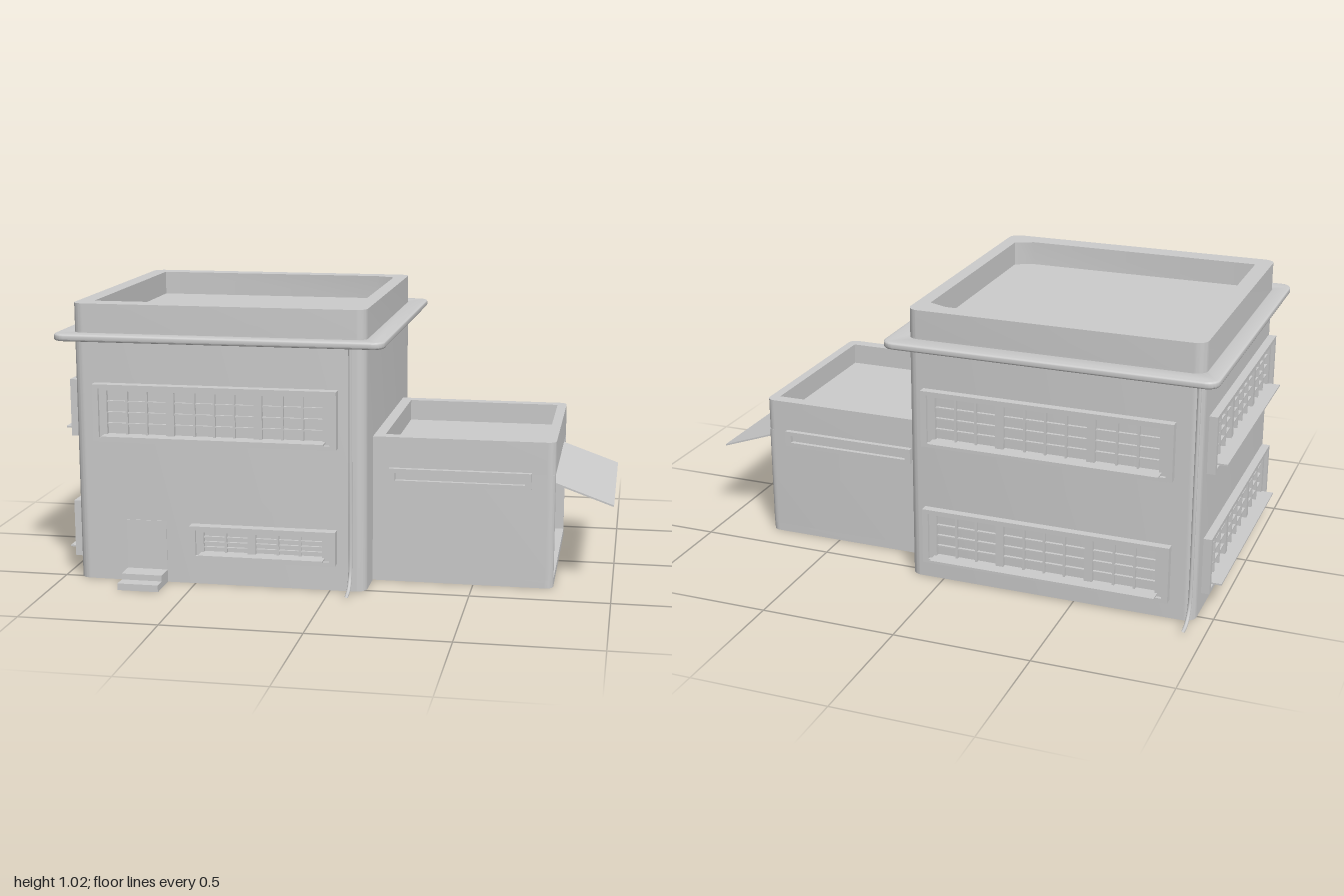
import * as THREE from 'three';
import { toCreasedNormals } from 'three/addons/utils/BufferGeometryUtils.js';

const grey = new THREE.MeshStandardMaterial({ color: 0xcccccc, side: THREE.DoubleSide });

function add(parent, name, geometry) {
  const mesh = new THREE.Mesh(geometry, grey);
  mesh.name = name;
  parent.add(mesh);
  return mesh;
}

// Box given by its limits
function box(parent, name, x0, x1, y0, y1, z0, z1) {
  const g = new THREE.BoxGeometry(x1 - x0, y1 - y0, z1 - z0);
  g.translate((x0 + x1) / 2, (y0 + y1) / 2, (z0 + z1) / 2);
  return add(parent, name, g);
}

// Rectangle outline in plan; rL and rR round the corners at low x and high x
function plan(x0, x1, z0, z1, rL = 0, rR = rL, Type = THREE.Shape) {
  const p = new Type(), a = -z1, b = -z0;
  p.moveTo(x0 + rL, a);
  p.lineTo(x1 - rR, a);
  if (rR) p.absarc(x1 - rR, a + rR, rR, -Math.PI / 2, 0);
  p.lineTo(x1, b - rR);
  if (rR) p.absarc(x1 - rR, b - rR, rR, 0, Math.PI / 2);
  p.lineTo(x0 + rL, b);
  if (rL) p.absarc(x0 + rL, b - rL, rL, Math.PI / 2, Math.PI);
  p.lineTo(x0, a + rL);
  if (rL) p.absarc(x0 + rL, a + rL, rL, Math.PI, Math.PI * 1.5);
  p.closePath();
  return p;
}

// Plan outline raised from y0 to y1
function raise(parent, name, shape, y0, y1, bevel = 0) {
  const g = new THREE.ExtrudeGeometry(shape, {
    depth: y1 - y0 - 2 * bevel, curveSegments: 6, bevelEnabled: bevel > 0,
    bevelSize: bevel, bevelThickness: bevel, bevelOffset: -bevel, bevelSegments: 3,
  });
  g.rotateX(-Math.PI / 2);
  g.translate(0, y0 + bevel, 0);
  return add(parent, name, toCreasedNormals(g, 0.6));
}

// Raised surround with openings, facing +z, back on z = 0
function surround(parent, name, w, h, holes, depth) {
  const s = plan(-w / 2, w / 2, -h / 2, h / 2);
  for (const [x0, x1, y0, y1] of holes) s.holes.push(plan(x0, x1, -y1, -y0, 0, 0, THREE.Path));
  return add(parent, name, new THREE.ExtrudeGeometry(s, { depth, bevelEnabled: false }));
}

// Window bank: surround, recessed panes, glazing bars and a thin sill
function windowBank(name, w, h, columns) {
  const bank = new THREE.Group();
  bank.name = name;
  const padX = 0.05, padY = 0.024, gap = 0.03, bar = 0.008;
  const total = columns.reduce((a, c) => a + c, 0);
  const cell = (w - 2 * padX - gap * (columns.length - 1)) / total;
  const y0 = -h / 2 + padY, y1 = h / 2 - padY;
  const inset = 0.022;
  surround(bank, 'windowFrame', w, h, [[-w / 2 + inset, w / 2 - inset, -h / 2 + 0.015, h / 2 - 0.015]], 0.04);
  const holes = [];
  let x = -w / 2 + padX;
  for (const n of columns) {
    const x1 = x + n * cell;
    holes.push([x, x1, y0, y1]);
    for (let i = 1; i < n; i++)
      box(bank, 'verticalBar', x + i * cell - bar / 2, x + i * cell + bar / 2, y0, y1, 0.004, 0.024);
    for (let j = 1; j < 4; j++) {
      const y = y0 + (y1 - y0) * j / 4;
      box(bank, 'horizontalBar', x, x1, y - bar / 3, y + bar / 3, 0.004, 0.021);
    }
    x = x1 + gap;
  }
  surround(bank, 'windowPanel', w - 0.02, h - 0.02, holes, 0.027);
  box(bank, 'windowPane', -w / 2 + 0.03, w / 2 - 0.03, y0, y1, 0.002, 0.01);
  box(bank, 'windowSill', -w / 2 + 0.04, w / 2 - 0.04, y0 - 0.003, y0 + 0.003, 0.01, 0.073);
  return bank;
}

function place(parent, object, x, y, z, turn = 0) {
  object.position.set(x, y, z);
  object.rotation.y = turn;
  parent.add(object);
}

// Drainpipe down a wall, kicking outwards at the foot
function drainpipe(parent, x, z, out) {
  const curve = new THREE.CatmullRomCurve3([
    [0.9, 0], [0.5, 0], [0.1, 0], [0.06, 0.01], [0.03, 0.032], [0.018, 0.06], [0.016, 0.078],
  ].map(([y, d]) => new THREE.Vector3(x, y, z + out * d)), false, 'centripetal');
  add(parent, 'drainpipe', new THREE.TubeGeometry(curve, 48, 0.007, 8));
}

export function createModel() {
  const model = new THREE.Group();
  model.name = 'building';

  // Main block: open-bottomed walls, roof deck and parapet
  const [X0, X1, Z0, Z1] = [-0.94, 0.13, -0.545, 0.52];
  const walls = plan(X0, X1, Z0, Z1, 0.04);
  walls.holes.push(plan(X0 + 0.01, X1 - 0.01, Z0 + 0.01, Z1 - 0.01, 0.03, 0.03, THREE.Path));
  raise(model, 'mainWalls', walls, 0, 0.92);
  raise(model, 'mainRoof', plan(X0 + 0.005, X1 - 0.005, Z0 + 0.005, Z1 - 0.005, 0.035), 0.91, 0.93);
  const parapet = plan(X0, X1, Z0, Z1, 0.04);
  const inner = [[-0.88, -0.44], [0.01, -0.44], [0.08, -0.41], [0.08, 0.445], [0.01, 0.475], [-0.88, 0.475]];
  parapet.holes.push(new THREE.Path(inner.map(([x, y]) => new THREE.Vector2(x, y))));
  raise(model, 'parapet', parapet, 0.92, 1.02);

  // Ledge around the top
  const ledge = plan(-1, 0.2, -0.62, 0.58, 0.045);
  ledge.holes.push(plan(X0 + 0.004, X1 - 0.004, Z0 + 0.004, Z1 - 0.004, 0.036, 0.036, THREE.Path));
  raise(model, 'ledge', ledge, 0.89, 0.915, 0.007);

  // Window banks on the front, back and left walls
  place(model, windowBank('frontUpperWindows', 0.89, 0.21, [3, 4, 3]), -0.415, 0.63, Z1);
  place(model, windowBank('frontLowerWindows', 0.535, 0.125, [2, 3]), -0.242, 0.163, Z1);
  for (const y of [0.63, 0.175]) {
    place(model, windowBank('backWindows', 0.92, 0.21, [3, 4, 3]), -0.39, y, Z0 + 0.01, Math.PI);
    place(model, windowBank('leftWindows', 0.93, 0.21, [3, 4, 3]), X0 + 0.01, y, 0.01, -Math.PI / 2);
  }

  // Front door and its steps
  box(model, 'door', -0.755, -0.605, 0.04, 0.23, Z1 - 0.005, Z1 + 0.003);
  box(model, 'upperStep', -0.755, -0.605, 0, 0.047, Z1 - 0.005, 0.6);
  box(model, 'lowerStep', -0.755, -0.605, 0, 0.025, 0.6, 0.65);

  drainpipe(model, 0.08, 0.552, 1);
  drainpipe(model, -0.93, -0.57, -1);

  // Annex on the side, with an open end
  const annex = new THREE.Group();
  annex.name = 'annex';
  annex.position.z = -0.01;
  model.add(annex);
  raise(annex, 'annexFloor', plan(0.13, 0.79, -0.375, 0.375, 0, 0.03), 0, 0.03);
  for (const s of [-1, 1]) {
    const strip = new THREE.Shape();
    strip.moveTo(0.13, s * 0.375);
    strip.lineTo(0.76, s * 0.375);
    strip.quadraticCurveTo(0.79, s * 0.375, 0.79, s * 0.345);
    strip.lineTo(0.79, s * 0.342);
    strip.lineTo(0.13, s * 0.342);
    strip.closePath();
    raise(annex, 'annexWall', strip, 0.03, 0.42);

    // Long slot window on each side
    const slot = new THREE.Group();
    slot.name = 'slotWindow';
    surround(slot, 'slotFrame', 0.515, 0.058, [[-0.235, 0.235, -0.014, 0.014]], 0.02);
    box(slot, 'slotPane', -0.235, 0.235, -0.014, 0.014, 0, 0.004);
    place(annex, slot, 0.448, 0.398, s * 0.374, s > 0 ? 0 : Math.PI);
  }
  const rim = plan(0.13, 0.79, -0.375, 0.375, 0, 0.03);
  rim.holes.push(plan(0.17, 0.755, -0.328, 0.328, 0, 0, THREE.Path));
  raise(annex, 'annexRim', rim, 0.42, 0.54);
  box(annex, 'annexRoof', 0.16, 0.765, 0.44, 0.46, -0.34, 0.34);

  // Sloping awning over the open end
  const awning = box(annex, 'awning', 0, 0.322, -0.006, 0, -0.342, 0.342);
  awning.position.set(0.695, 0.42, 0);
  awning.rotation.z = -0.34;
  return model;
}
